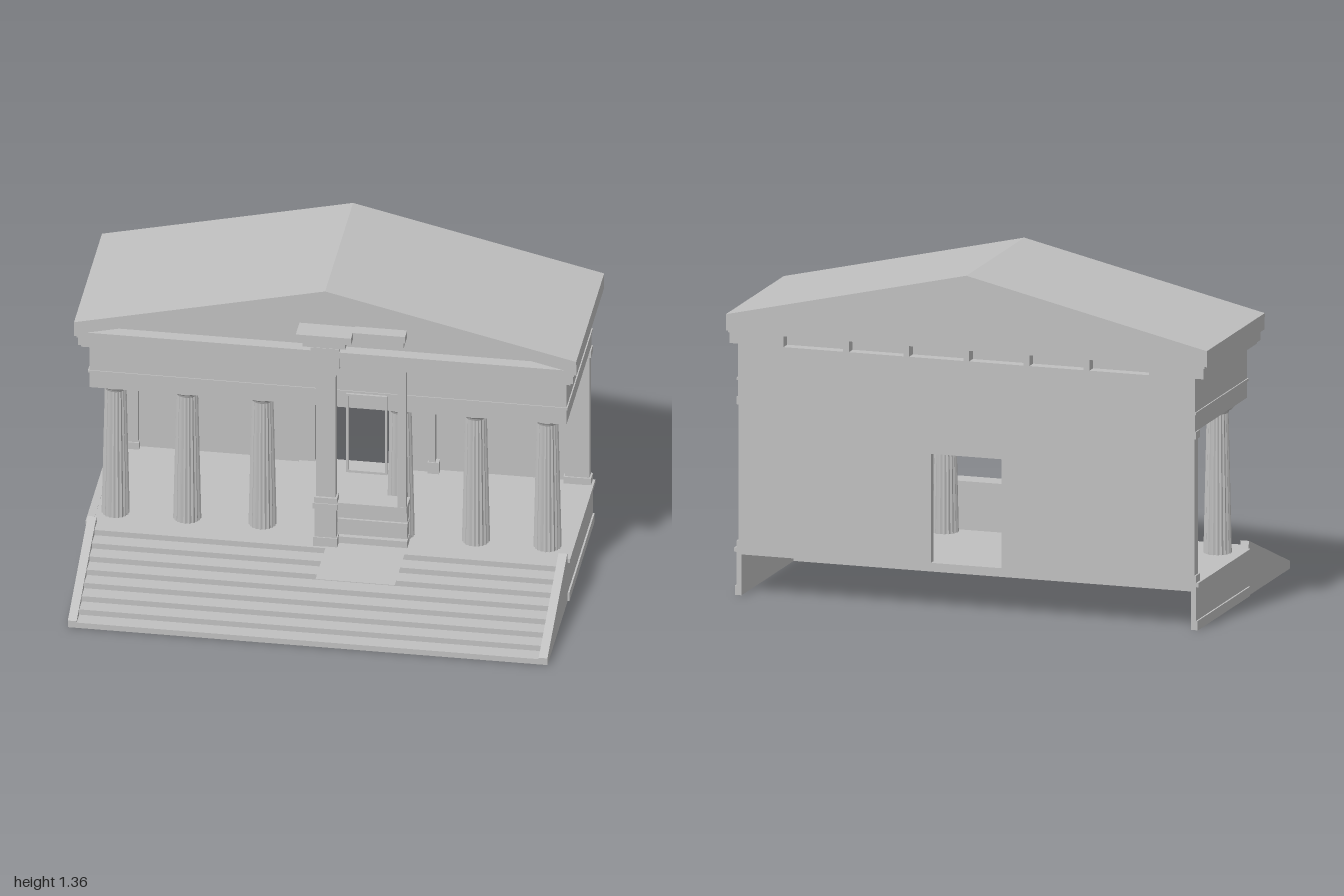
import * as THREE from 'three';

const stone = new THREE.MeshStandardMaterial({ color: 0xc0c0c0, flatShading: true, side: THREE.DoubleSide });
stone.name = 'stone grey';

function add(group, name, geometry) {
  const mesh = new THREE.Mesh(geometry, stone);
  mesh.name = name;
  group.add(mesh);
  return mesh;
}

// Box given by its limits on each axis
function block(group, name, x0, x1, y0, y1, z0, z1) {
  const mesh = add(group, name, new THREE.BoxGeometry(x1 - x0, y1 - y0, z1 - z0));
  mesh.position.set((x0 + x1) / 2, (y0 + y1) / 2, (z0 + z1) / 2);
  return mesh;
}

// Box repeated on the left and right sides
function pair(group, name, x0, x1, y0, y1, z0, z1) {
  block(group, name + 'Left', x0, x1, y0, y1, z0, z1);
  block(group, name + 'Right', -x1, -x0, y0, y1, z0, z1);
}

function outline(points, Type = THREE.Shape) {
  return new Type(points.map(([x, y]) => new THREE.Vector2(x, y)));
}

function slab(group, name, shape, z0, z1) {
  const geo = new THREE.ExtrudeGeometry(shape, { depth: z1 - z0, bevelEnabled: false });
  return add(group, name, geo.translate(0, 0, z0));
}

const BACK = -0.575;

// Stairs, sloping cheek walls and hollow platform
function buildBase() {
  const g = new THREE.Group();
  g.name = 'base';
  const steps = 8, front = 0.57, tread = 0.0638, rise = 0.19 / steps;
  for (let i = 0; i < steps; i++) {
    block(g, 'step', -0.92, 0.92, i * rise, (i + 1) * rise, 0.06, front - i * tread);
  }
  const cheek = outline([[-0.57, 0], [-0.57, 0.03], [-0.07, 0.22], [-0.06, 0.19], [-0.06, 0]]);
  for (const x of [-0.955, 0.92]) {
    const geo = new THREE.ExtrudeGeometry(cheek, { depth: 0.035, bevelEnabled: false });
    geo.rotateY(Math.PI / 2).translate(x, 0, 0);
    add(g, 'stairCheek', geo);
  }
  block(g, 'floor', -0.955, 0.955, 0.165, 0.19, BACK, 0.06);
  pair(g, 'platformSide', 0.935, 0.955, 0, 0.175, BACK, 0.06);
  pair(g, 'platformFoot', 0.935, 0.962, 0, 0.038, BACK, 0.06);
  pair(g, 'platformEdge', 0.935, 0.965, 0.174, 0.191, BACK, 0.06);
  return g;
}

// Fluted column with a flared round capital
function buildColumn(x) {
  const g = new THREE.Group();
  g.name = 'column';
  const shaft = new THREE.CylinderGeometry(0.043, 0.056, 0.575, 40, 1, true);
  const p = shaft.attributes.position;
  for (let i = 0; i < p.count; i++) {
    if ((i % 41) % 2) {
      p.setX(i, p.getX(i) * 0.92);
      p.setZ(i, p.getZ(i) * 0.92);
    }
  }
  add(g, 'shaft', shaft.translate(0, 0.4775, 0));
  const profile = [[0, 0.755], [0.043, 0.755], [0.047, 0.765], [0.062, 0.775], [0.066, 0.78], [0.066, 0.79], [0, 0.79]];
  add(g, 'capital', new THREE.LatheGeometry(profile.map(([r, y]) => new THREE.Vector2(r, y)), 24));
  g.position.set(x, 0, -0.035);
  return g;
}

// Rear wall with doorway, door surround and corner pilasters
function buildWall() {
  const g = new THREE.Group();
  g.name = 'rearWall';
  block(g, 'wallAboveDoor', -0.147, 0.147, 0.63, 1.015, BACK, -0.555);
  pair(g, 'wall', 0.147, 0.945, 0.19, 1.015, BACK, -0.555);
  pair(g, 'doorInnerJamb', 0.147, 0.21, 0.19, 0.63, -0.557, -0.545);
  pair(g, 'doorJamb', 0.21, 0.31, 0.19, 0.68, -0.557, -0.535);
  pair(g, 'doorOuterJamb', 0.31, 0.335, 0.19, 0.68, -0.557, -0.525);
  pair(g, 'doorJambFoot', 0.305, 0.35, 0.19, 0.24, -0.557, -0.52);
  block(g, 'doorLintel', -0.31, 0.31, 0.63, 0.66, -0.557, -0.54);
  block(g, 'doorFrieze', -0.335, 0.335, 0.66, 0.735, -0.557, -0.525);
  block(g, 'doorCornice', -0.355, 0.355, 0.735, 0.755, -0.557, -0.51);
  block(g, 'doorCorniceTop', -0.37, 0.37, 0.755, 0.778, -0.557, -0.495);
  pair(g, 'pilaster', 0.85, 0.948, 0.19, 0.8, BACK, -0.533);
  pair(g, 'pilasterFoot', 0.845, 0.955, 0.19, 0.22, BACK, -0.527);
  pair(g, 'pilasterCap', 0.845, 0.955, 0.77, 0.8, BACK, -0.525);
  return g;
}

// Beams, ceiling, cornice, pediment and roof
function buildTop() {
  const g = new THREE.Group();
  g.name = 'roofAndEntablature';
  block(g, 'frontBeam', -0.95, 0.95, 0.8, 1.015, -0.1, 0.06);
  pair(g, 'sideBeam', 0.81, 0.95, 0.8, 1.015, BACK, -0.1);
  block(g, 'beamFillet', -0.955, 0.955, 0.868, 0.878, -0.09, 0.064);
  pair(g, 'sideFillet', 0.9, 0.955, 0.868, 0.878, BACK, -0.09);
  block(g, 'ceiling', -0.82, 0.82, 0.9, 1.015, -0.56, -0.1);
  block(g, 'lowerCornice', -0.975, 0.975, 1.01, 1.03, -0.53, 0.11);
  block(g, 'cornice', -0.985, 0.985, 1.022, 1.058, -0.53, 0.118);
  // Bars that divide the slots under the rear gable
  pair(g, 'rearCorniceEnd', 0.76, 0.985, 1.015, 1.058, BACK, -0.53);
  for (let i = -2; i <= 2; i++) {
    block(g, 'rearBar', i * 0.25 - 0.012, i * 0.25 + 0.012, 1.015, 1.058, BACK, -0.53);
  }
  block(g, 'upperCornice', -0.99, 0.99, 1.058, 1.085, BACK, 0.124);
  const rake = outline([[-1, 1.065], [1, 1.065], [1, 1.13], [0, 1.36], [-1, 1.13]]);
  rake.holes.push(outline([[-0.95, 1.085], [0, 1.305], [0.95, 1.085]], THREE.Path));
  slab(g, 'rakingCornice', rake, 0.075, 0.126);
  const body = outline([[-1, 1.065], [1, 1.065], [1, 1.13], [0, 1.36], [-1, 1.13]]);
  slab(g, 'roof', body, BACK, 0.075);
  const lip = outline([[-1, 1.115], [0, 1.345], [1, 1.115], [1, 1.13], [0, 1.36], [-1, 1.13]]);
  slab(g, 'roofLip', lip, 0.12, 0.13);
  return g;
}

// Slender frame standing off-centre before the porch
function buildFrame() {
  const g = new THREE.Group();
  g.name = 'porchFrame';
  block(g, 'pillarFoot', -0.05, 0.045, 0.19, 0.23, 0.062, 0.112);
  block(g, 'pillarPedestal', -0.045, 0.04, 0.23, 0.365, 0.065, 0.107);
  block(g, 'pillarPedestalCap', -0.052, 0.047, 0.36, 0.385, 0.06, 0.114);
  block(g, 'pillarBase', -0.047, 0.044, 0.385, 0.41, 0.064, 0.11);
  block(g, 'pillar', -0.04, 0.037, 0.41, 0.96, 0.068, 0.1);
  const flare = outline([[-0.04, 0.96], [0.037, 0.96], [0.055, 1.0], [0.055, 1.015], [-0.058, 1.015], [-0.058, 1.0]]);
  slab(g, 'pillarCapital', flare, 0.062, 0.115);
  block(g, 'pillarTop', -0.058, 0.055, 1.015, 1.1, 0.07, 0.128);
  block(g, 'post', 0.283, 0.318, 0.385, 1.08, 0.072, 0.098);
  block(g, 'panel', 0.04, 0.315, 0.19, 0.365, 0.015, 0.055);
  block(g, 'panelFoot', 0.04, 0.318, 0.19, 0.22, 0.015, 0.075);
  block(g, 'panelRail', 0.04, 0.318, 0.28, 0.295, 0.015, 0.065);
  block(g, 'panelCap', 0.04, 0.32, 0.362, 0.387, 0.012, 0.1);
  block(g, 'topRail', 0.037, 0.283, 0.985, 1.015, 0.062, 0.08);
  // Hanging open frame
  const pane = outline([[0.075, 0.515], [0.238, 0.515], [0.238, 0.87], [0.075, 0.87]]);
  pane.holes.push(outline([[0.085, 0.525], [0.085, 0.862], [0.23, 0.862], [0.23, 0.525]], THREE.Path));
  slab(g, 'hangingFrame', pane, 0.065, 0.075);
  // Stepped cap against the pediment
  block(g, 'capLower', -0.085, 0.085, 1.12, 1.15, 0.08, 0.16);
  block(g, 'capUpper', -0.11, 0.11, 1.15, 1.18, 0.08, 0.174);
  block(g, 'capSideLower', 0.085, 0.31, 1.12, 1.15, 0.07, 0.122);
  block(g, 'capSideUpper', 0.11, 0.318, 1.15, 1.18, 0.07, 0.128);
  // Thin landing above the stairs
  const landing = add(g, 'landing', new THREE.PlaneGeometry(0.315, 0.31).rotateX(-Math.PI / 2));
  landing.position.set(0.1575, 0.191, 0.215);
  return g;
}

export function createModel() {
  const model = new THREE.Group();
  model.name = 'temple';
  model.add(buildBase(), buildWall(), buildTop(), buildFrame());
  for (const x of [0.275, 0.575, 0.86]) model.add(buildColumn(x), buildColumn(-x));
  return model;
}
